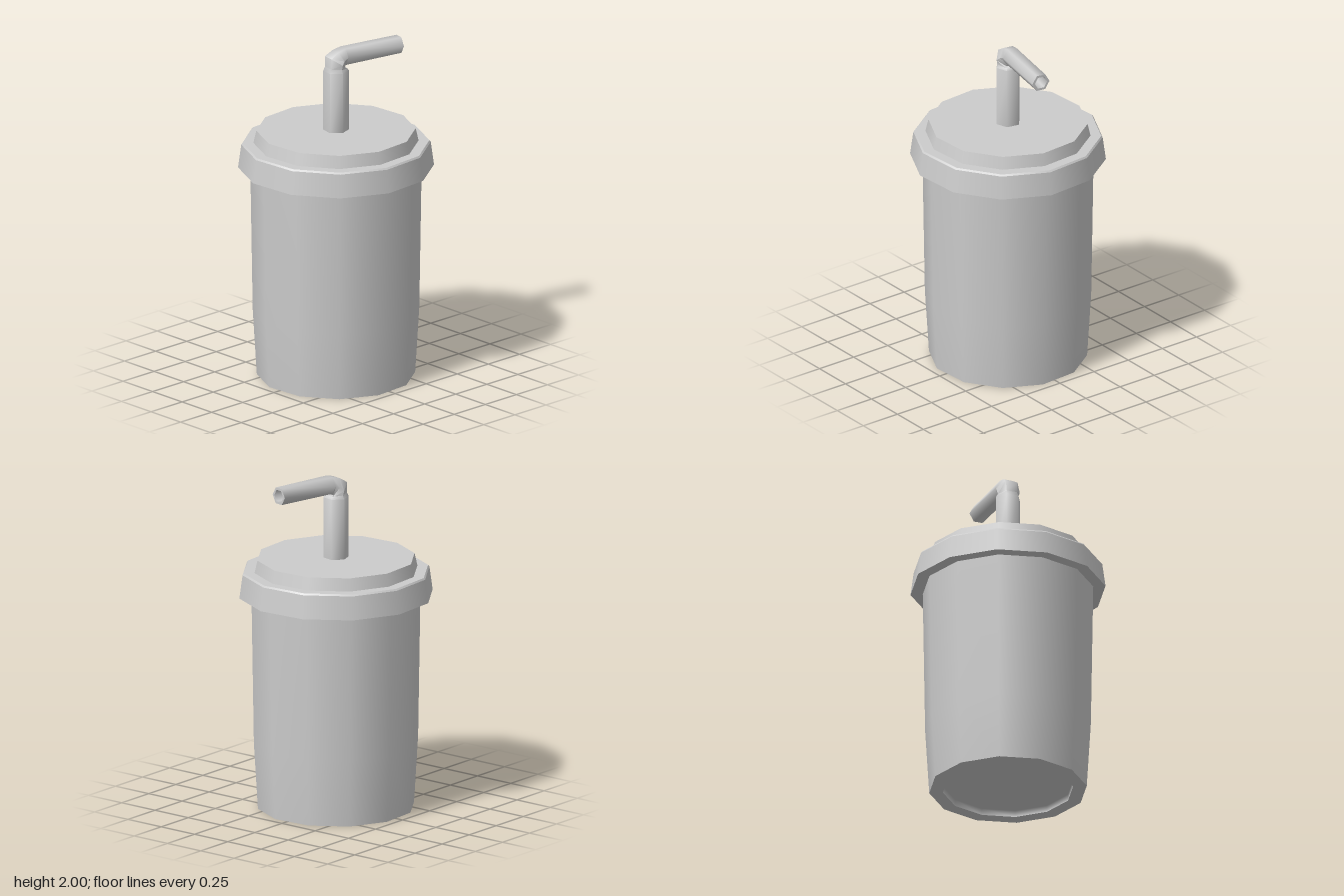
import * as THREE from 'three';
import { toCreasedNormals } from 'three/addons/utils/BufferGeometryUtils.js';

const SIDES = 12;

// Smooth around the axis, with hard edges between the given profile bands
function addBands(parent, name, material, bands) {
  const group = new THREE.Group();
  group.name = name;
  for (const band of bands) {
    const pts = band.map(([r, y]) => new THREE.Vector2(r, y));
    group.add(new THREE.Mesh(new THREE.LatheGeometry(pts, SIDES), material));
  }
  group.children.forEach((m, i) => { m.name = `${name}Band${i + 1}`; });
  parent.add(group);
}

// Hexagonal tube swept through rings of [x, y, tilt in degrees, radius]
function sweepHexagon(rings) {
  const n = 6, pos = [], index = [];
  for (const [x, y, tilt, r] of rings) {
    const t = THREE.MathUtils.degToRad(tilt);
    for (let k = 0; k < n; k++) {
      const a = Math.PI / 6 + (k / n) * Math.PI * 2;
      const u = r * Math.cos(a);
      pos.push(x + u * Math.cos(t), y - u * Math.sin(t), r * Math.sin(a));
    }
  }
  for (let i = 0; i < rings.length - 1; i++) {
    for (let k = 0; k < n; k++) {
      const a = i * n + k, b = i * n + (k + 1) % n;
      index.push(a, a + n, b, b, a + n, b + n);
    }
  }
  const g = new THREE.BufferGeometry();
  g.setAttribute('position', new THREE.Float32BufferAttribute(pos, 3));
  g.setIndex(index);
  return toCreasedNormals(g, 1.1);
}

export function createModel() {
  const model = new THREE.Group();
  model.name = 'drinkCup';
  const grey = new THREE.MeshStandardMaterial({ color: 0xcccccc });
  grey.name = 'light grey';

  // Everything shares one slight turn about the upright axis
  const body = new THREE.Group();
  body.name = 'turnedBody';
  body.rotation.y = -THREE.MathUtils.degToRad(11);
  model.add(body);

  // Cup: recessed base, foot ring, tapered wall
  addBands(body, 'cup', grey, [
    [[0, 0.04], [0.382, 0.04], [0.382, 0]],
    [[0.382, 0], [0.462, 0]],
    [[0.462, 0], [0.486, 0.4], [0.5, 1.28]],
  ]);

  // Lid: underside, sloped rim, ledge, raised top
  addBands(body, 'lid', grey, [
    [[0.49, 1.28], [0.572, 1.28]],
    [[0.572, 1.28], [0.553, 1.42]],
    [[0.553, 1.42], [0.545, 1.43]],
    [[0.545, 1.43], [0.48, 1.43]],
    [[0.482, 1.43], [0.465, 1.505]],
    [[0.465, 1.505], [0, 1.505]],
  ]);

  // Bent straw: upright, pinched elbow, arm, open hollow end
  const straw = new THREE.Mesh(sweepHexagon([
    [0, 1.48, 0, 0.075],
    [0, 1.87, 0, 0.075],
    [0, 1.89, 5, 0.064],
    [0, 1.92, 35, 0.075],
    [0.02, 1.94, 65, 0.062],
    [0.05, 1.952, 90, 0.057],
    [0.435, 1.952, 90, 0.055],
    [0.435, 1.952, 90, 0.04],
    [0.1, 1.952, 90, 0.04],
    [0.1, 1.952, 90, 0],
  ]), grey);
  straw.name = 'straw';
  body.add(straw);

  return model;
}
